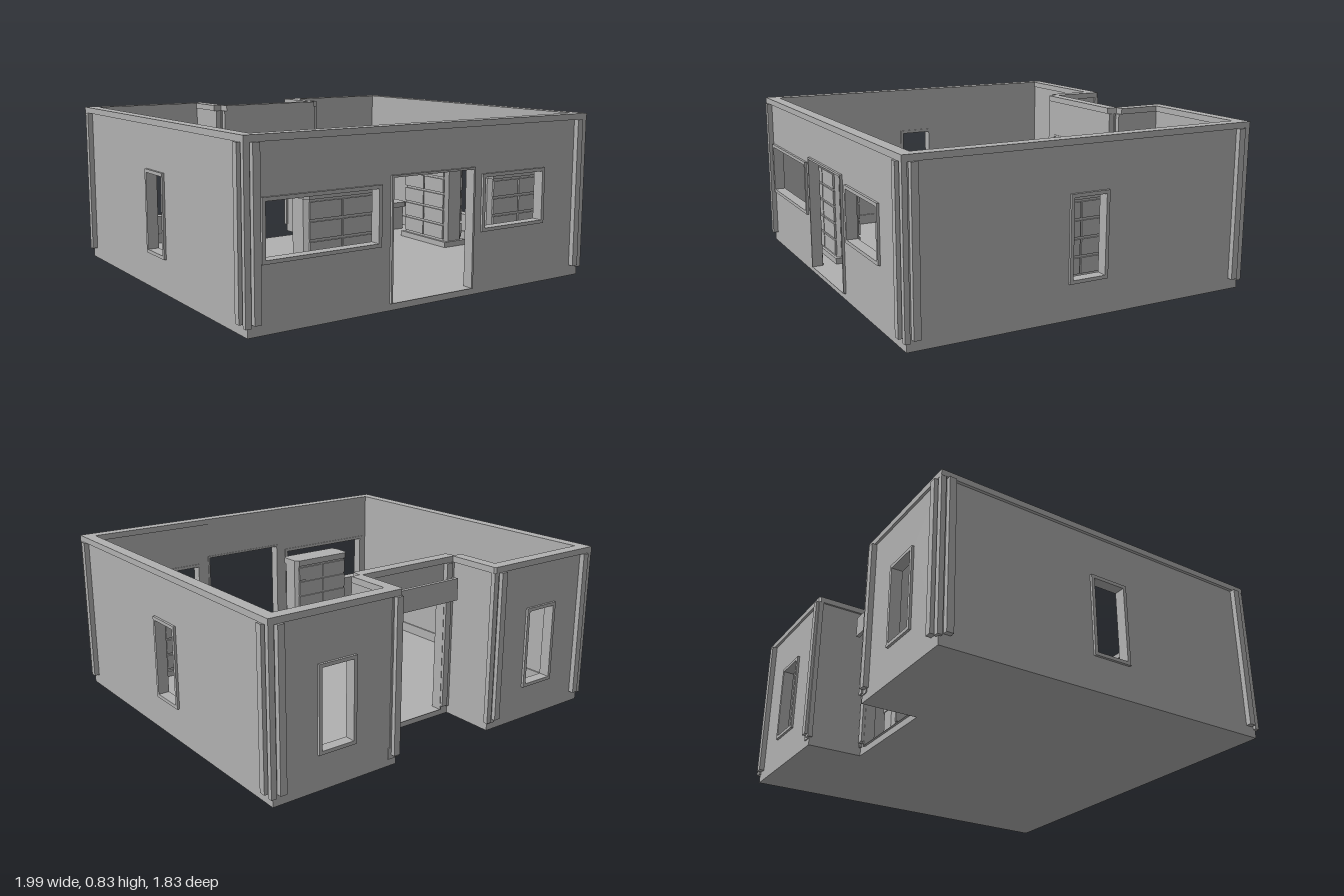
import * as THREE from 'three';

const plaster = new THREE.MeshStandardMaterial({ color: 0xb0b0b0 });
plaster.name = 'grey plaster';

const X = 0.97, Z = 0.89;          // outer faces of the walls
const T = 0.04;                    // wall thickness
const FLOOR = 0.035, WALL_TOP = 0.805, TOP = 0.835;
const NX = 0.295, NZ = -0.61;      // entrance recess in the back

function add(parent, name, geometry, x = 0, y = 0, z = 0) {
  const mesh = new THREE.Mesh(geometry, plaster);
  mesh.name = name;
  mesh.position.set(x, y, z);
  parent.add(mesh);
  return mesh;
}

// box given by its limits
function block(parent, name, x0, x1, y0, y1, z0, z1) {
  return add(parent, name, new THREE.BoxGeometry(x1 - x0, y1 - y0, z1 - z0),
    (x0 + x1) / 2, (y0 + y1) / 2, (z0 + z1) / 2);
}

const points = (list) => list.map(([x, y]) => new THREE.Vector2(x, y));
const rect = (x0, x1, y0, y1) => points([[x0, y0], [x1, y0], [x1, y1], [x0, y1]]);

function extrude(outline, holes, depth) {
  const shape = new THREE.Shape(outline);
  holes.forEach((h) => shape.holes.push(new THREE.Path(h)));
  return new THREE.ExtrudeGeometry(shape, { depth, bevelEnabled: false });
}

// horizontal plate drawn in x and z
function plate(parent, name, outline, holes, y0, y1) {
  const geometry = extrude(outline, holes, y1 - y0).rotateX(Math.PI / 2);
  return add(parent, name, geometry, 0, y1, 0);
}

// rectangle in plan with cut corners
function cutRect(w, d, c) {
  const a = w / 2, b = d / 2;
  return points([[-a + c, -b], [a - c, -b], [a, -b + c], [a, b - c],
    [a - c, b], [-a + c, b], [-a, b - c], [-a, -b + c]]);
}

// wall in its own frame: outside faces +z, outer face at z = 0
function wall(parent, name, x, z, turn, x0, x1, openings = [], strips = []) {
  const g = new THREE.Group();
  g.name = name;
  g.position.set(x, 0, z);
  g.rotation.y = turn;
  parent.add(g);
  const holes = openings.map((o) => rect(...o.size));
  add(g, 'wallPanel', extrude(rect(x0, x1, FLOOR, WALL_TOP), holes, T), 0, 0, -T);

  let start = x0;
  for (const o of openings) {
    const [a, b, c, d] = o.size;
    const f = o.door ? 0.008 : 0.015;
    const frame = extrude(rect(a - 0.002, b + 0.002, c - 0.002, d + 0.002),
      [rect(a + f, b - f, o.door ? c : c + f, d - f)], T + 0.016);
    add(g, o.door ? 'doorFrame' : 'windowFrame', frame, 0, 0, -T - 0.004);
    if (o.door) {
      block(g, 'skirting', start, a, FLOOR, 0.09, -T - 0.008, -T);
      start = b;
    }
  }
  block(g, 'skirting', start, x1, FLOOR, 0.09, -T - 0.008, -T);
  for (const s of strips) block(g, 'wallStrip', s - 0.017, s + 0.017, 0.055, WALL_TOP, -0.005, 0.026);
  return g;
}

// double-sided shop shelf, long in x
function shelf(parent, x, z, turn) {
  const g = new THREE.Group();
  g.name = 'shelf';
  g.position.set(x, 0, z);
  g.rotation.y = turn;
  parent.add(g);
  block(g, 'shelfPlinth', -0.2, 0.2, FLOOR, 0.065, -0.078, 0.078);
  plate(g, 'shelfCore', cutRect(0.376, 0.128, 0.02), [], 0.065, 0.525);
  plate(g, 'shelfTop', cutRect(0.386, 0.145, 0.02), [], 0.522, 0.556);
  for (const side of [-1, 1]) {
    for (let row = 0; row < 5; row++) {
      for (const col of [-1, 1]) {
        const y = 0.078 + row * 0.089;
        const m = block(g, 'shelfBin', -0.083, 0.083, y, y + 0.077, -0.008, 0.008);
        m.position.x = col * 0.087;
        m.position.z = side * 0.064;
      }
    }
  }
}

// counter with screen and keyboard
function counter(parent, x, z) {
  const g = new THREE.Group();
  g.name = 'counter';
  g.position.set(x, 0, z);
  parent.add(g);
  plate(g, 'counterTop', cutRect(0.16, 0.38, 0.015), [], 0.175, 0.205);
  for (const s of [-1, 1]) block(g, 'counterLeg', -0.065, 0.065, FLOOR, 0.176, s * 0.145 - 0.025, s * 0.145 + 0.025);
  block(g, 'counterPanel', 0.045, 0.06, FLOOR, 0.176, -0.14, 0.14);
  block(g, 'keyboard', -0.065, -0.015, 0.204, 0.213, -0.065, 0.07);
  block(g, 'screen', 0.032, 0.042, 0.225, 0.32, -0.08, 0.085);
  block(g, 'screenStand', 0.03, 0.046, 0.204, 0.24, -0.02, 0.025);
}

export function createModel() {
  const model = new THREE.Group();
  model.name = 'shopBuilding';

  // floor slab with the entrance recess cut out
  plate(model, 'floor', points([[-X, -Z], [-NX, -Z], [-NX, NZ], [NX, NZ],
    [NX, -Z], [X, -Z], [X, Z], [-X, Z]]), [], 0, FLOOR);

  // outer walls
  const door = { size: [-0.242, 0.242, FLOOR, 0.613], door: true };
  const tall = (c) => ({ size: [c - 0.1, c + 0.1, 0.175, 0.585] });
  wall(model, 'frontWall', 0, Z, 0, -X, X,
    [{ size: [-0.9, -0.3, 0.303, 0.577] }, door, { size: [0.295, 0.7, 0.303, 0.577] }],
    [-0.932, 0.928]);
  for (const s of [-1, 1]) {
    wall(model, 'sideWall', s * X, 0, s * Math.PI / 2, -Z, Z, [tall(0)], [-0.85, 0.85]);
    // the back faces away, so its own x runs the other way
    const inner = s > 0 ? 0.34 : 0.31;
    wall(model, 'backWall', 0, -Z, Math.PI, s > 0 ? NX : -X, s > 0 ? X : -NX,
      [tall(s * 0.635)], [s * inner, s * 0.93]);
    const mid = (-Z + NZ) / 2, half = (NZ + Z) / 2;
    wall(model, 'recessSideWall', s * NX, mid, -s * Math.PI / 2, -half - 0.005, half + 0.005);
  }
  wall(model, 'recessWall', 0, NZ, Math.PI, -NX - 0.005, NX + 0.005, [door], [-0.253, 0.253]);

  // corner posts
  for (const s of [-1, 1]) {
    for (const [x, z] of [[X, Z], [X, -Z], [NX + 0.004, -Z], [NX, NZ]]) {
      block(model, 'cornerPost', s * x - 0.014, s * x + 0.014, 0.042, WALL_TOP, z - 0.012, z + 0.012);
    }
  }

  // coping on top of the walls
  const cx = 0.985, cz = 0.903, nx = 0.284, nz = -0.623, r = 0.01;
  const outer = points([[-cx, -cz], [-nx - r, -cz], [-nx, -cz + r], [-nx, nz], [nx, nz],
    [nx, -cz + r], [nx + r, -cz], [cx, -cz], [cx, cz], [-cx, cz]]);
  const inside = points([[-0.925, -0.842], [-0.343, -0.842], [-0.343, -0.617], [-0.298, -0.617],
    [-0.29, -0.564], [0.29, -0.564], [0.298, -0.617], [0.343, -0.617], [0.343, -0.842],
    [0.925, -0.842], [0.925, 0.842], [-0.925, 0.842]]);
  plate(model, 'coping', outer, [inside], WALL_TOP, TOP);

  // blank board on two brackets above the back entrance
  block(model, 'entranceBoard', -0.247, 0.243, 0.635, 0.745, -0.7, -0.68);
  for (const x of [-0.192, 0.187]) block(model, 'boardBracket', x - 0.011, x + 0.011, 0.68, 0.705, -0.682, NZ);

  // furniture
  shelf(model, -0.42, 0.7, 0);
  shelf(model, 0.655, 0.7, 0);
  shelf(model, 0.78, -0.038, Math.PI / 2);
  counter(model, 0.78, -0.575);

  return model;
}
